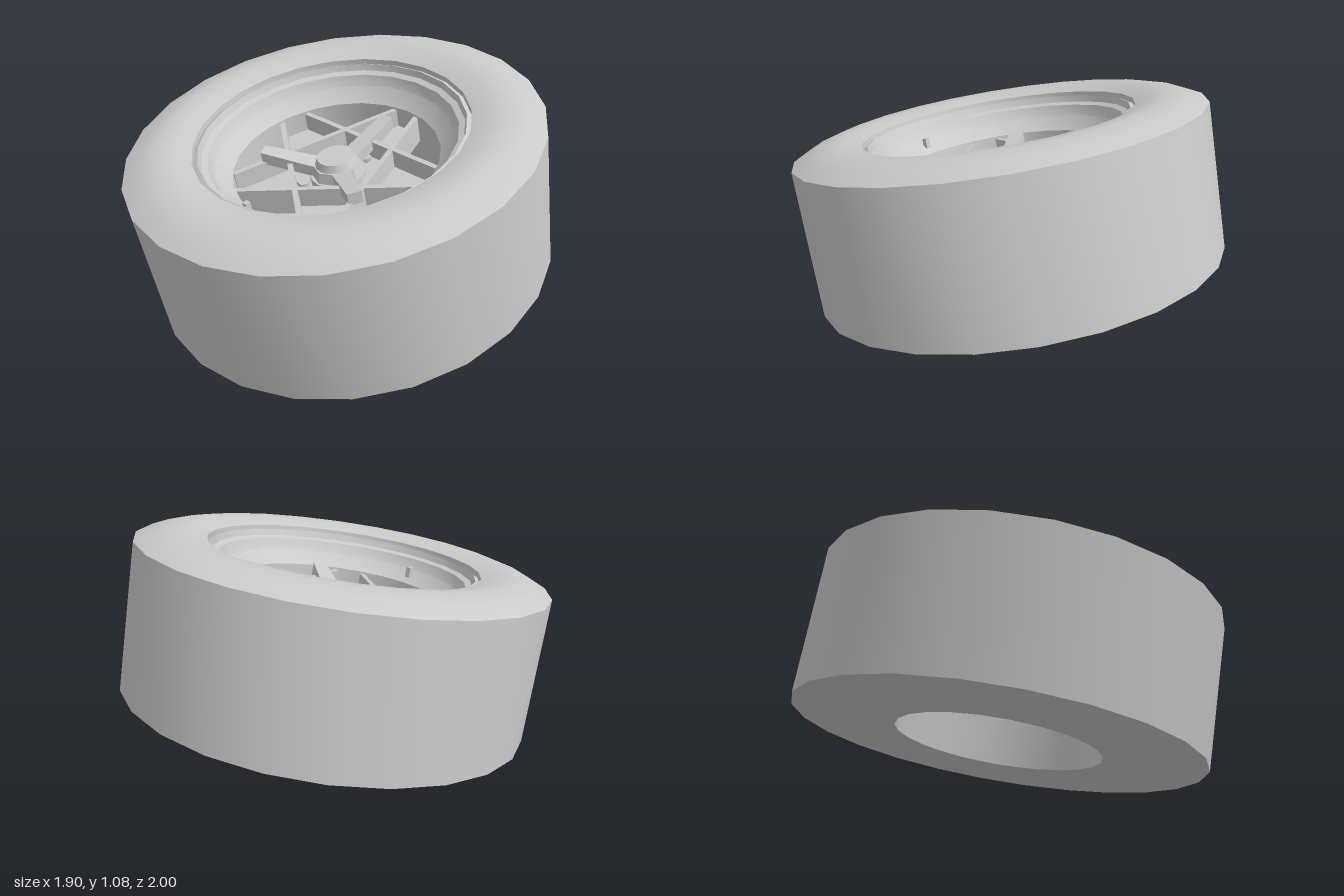
import * as THREE from 'three';
import { toCreasedNormals } from 'three/addons/utils/BufferGeometryUtils.js';

export function createModel() {
  const mat = new THREE.MeshStandardMaterial({ color: 0xcccccc });
  const root = new THREE.Group();
  root.name = 'wheel';

  // The whole wheel lies on its side, tipped towards the front
  const wheel = new THREE.Group();
  wheel.name = 'tiltedWheel';
  wheel.rotation.x = 0.2124;
  wheel.position.set(0, 0.2003, -0.07);
  root.add(wheel);

  const add = (parent, name, geometry, x = 0, y = 0, z = 0) => {
    const mesh = new THREE.Mesh(geometry, mat);
    mesh.name = name;
    mesh.position.set(x, y, z);
    parent.add(mesh);
    return mesh;
  };
  const lathe = (points) => toCreasedNormals(
    new THREE.LatheGeometry(points.map(([r, h]) => new THREE.Vector2(r, h)), 24), 0.5);

  // Tyre: flat back, straight tread, rounded sidewall
  add(wheel, 'tire', lathe([
    [0.48, 0], [0.95, 0], [0.95, 0.675], [0.87, 0.712], [0.787, 0.734], [0.71, 0.73], [0.63, 0.705],
  ]));

  // Rim: stepped lip, sloping shelf and deep barrel
  add(wheel, 'rim', lathe([
    [0.63, 0.705], [0.628, 0.68], [0.608, 0.69], [0.598, 0.66], [0.57, 0.65],
    [0.55, 0.6], [0.48, 0.54], [0.48, 0],
  ]));

  // Face parts are laid out in a flat plane, z being the height along the axle
  const face = new THREE.Group();
  face.name = 'wheelFace';
  face.rotation.x = -Math.PI / 2;
  wheel.add(face);

  // Back plate and the smaller brake disc in front of it
  add(face, 'backPlate', new THREE.CircleGeometry(0.48, 24), 0, 0, 0.27).rotation.x = Math.PI;
  add(face, 'brakeDisc', new THREE.CircleGeometry(0.42, 24), 0, 0, 0.275);

  // Five-armed star plate
  const star = new THREE.Shape();
  const polar = (r, a) => new THREE.Vector2(r * Math.cos(a), r * Math.sin(a));
  const corners = [];
  for (let i = 0; i < 5; i++) {
    const a = Math.PI / 2 + i * Math.PI * 0.4;
    corners.push(polar(0.475, a - 0.148), polar(0.475, a + 0.148), polar(0.26, a + Math.PI / 5));
  }
  star.setFromPoints(corners);
  add(face, 'starPlate', new THREE.ExtrudeGeometry(star, { depth: 0.04, bevelEnabled: false }), 0, 0, 0.4);

  // Raised ribs along the star's edges, and a small pad beside the hub for each
  for (let i = 0; i < 5; i++) {
    const side = new THREE.Group();
    side.name = 'starSide';
    side.rotation.z = i * Math.PI * 0.4;
    face.add(side);
    add(side, 'rib', new THREE.BoxGeometry(0.86, 0.025, 0.13), 0, 0.21, 0.465);
    const pad = add(side, 'lugPad', new THREE.CylinderGeometry(0.045, 0.045, 0.02, 6), 0, 0.165, 0.45);
    pad.rotation.x = Math.PI / 2;
    pad.scale.z = 0.7;
  }

  // Hub with an octagonal collar and a round cap
  const turned = (name, rTop, rBottom, height, sides, z) => {
    const g = toCreasedNormals(new THREE.CylinderGeometry(rTop, rBottom, height, sides), 0.5);
    add(face, name, g, 0, 0, z).rotation.x = Math.PI / 2;
  };
  turned('hub', 0.13, 0.15, 0.2, 16, 0.37);
  turned('hubCollar', 0.11, 0.125, 0.06, 8, 0.49);
  turned('hubCap', 0.085, 0.1, 0.04, 16, 0.535);

  // Three-eared spinner: tapering ears that rise towards their tips
  const ear = new THREE.BoxGeometry(1, 1, 1);
  const p = ear.attributes.position;
  for (let i = 0; i < p.count; i++) {
    const tip = p.getY(i) > 0;
    const top = p.getZ(i) > 0;
    p.setXYZ(i, Math.sign(p.getX(i)) * (tip ? 0.032 : 0.045), tip ? 0.35 : 0.08,
      top ? (tip ? 0.58 : 0.515) : (tip ? 0.52 : 0.46));
  }
  ear.computeVertexNormals();
  for (let i = 0; i < 3; i++) {
    add(face, 'spinnerEar', ear).rotation.z = i * Math.PI * 2 / 3;
  }

  // Valve stem on the rim shelf
  add(wheel, 'valve', new THREE.BoxGeometry(0.025, 0.05, 0.025), 0, 0.59, 0.515);

  return root;
}
